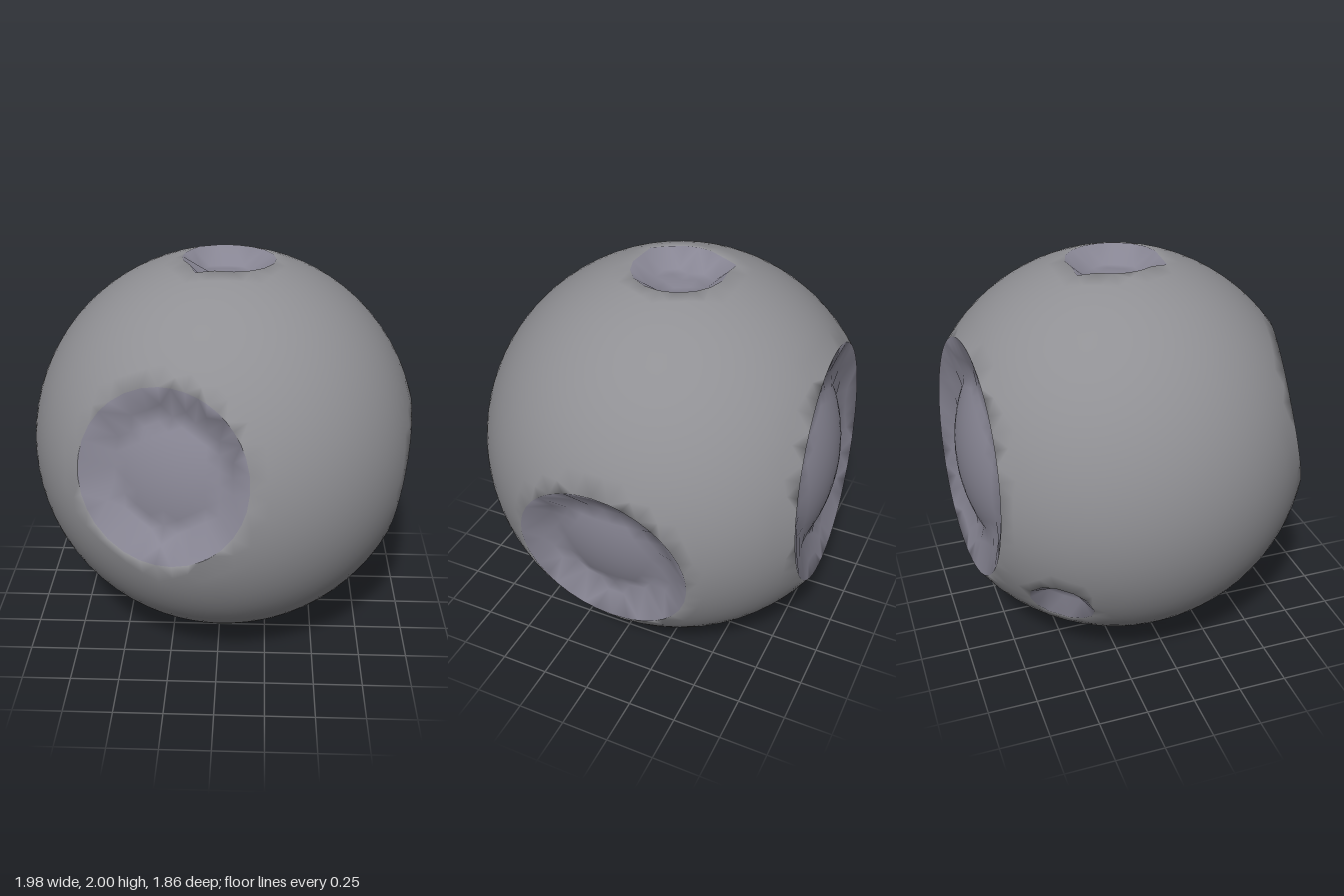
import * as THREE from 'three';
import { mergeVertices } from 'three/addons/utils/BufferGeometryUtils.js';

const R = 1.01;
const CENTER = new THREE.Vector3(0.02, R, -0.08);
const SNAP = 0.042; // about half an edge length

// Craters: outward direction, rim radius and how far the floor is sunk
const CRATERS = [
  { dir: [-0.29, 0.2, 0.93], r: 0.43, sink: 0.14 },      // front
  { dir: [0.982, -0.17, 0], r: 0.44, sink: 0.14 },       // left side
  { dir: [-0.06, 0.05, -1], r: 0.61, sink: 0.165 },      // back
  { dir: [0.02, 1, 0], r: 0.235, sink: 0.1 },            // top
  { dir: [0.12, -0.88, 0.44], r: 0.15, sink: 0.07 },     // underside, front
  { dir: [-0.72, -0.47, -0.51], r: 0.165, sink: 0.075 }, // underside, back
].map(({ dir, r, sink }) => ({
  r,
  sink,
  n: new THREE.Vector3(...dir).normalize(),
  plane: Math.sqrt(R * R - r * r), // distance of the rim plane from the centre
}));

// Moves a unit direction to the ball surface; a crater floor is a sunken,
// still domed patch of the ball behind a steep wall
function surfacePoint(u) {
  for (const { n, r, sink, plane } of CRATERS) {
    const c = u.dot(n);
    if (c < 0.5) continue;
    const side = u.clone().addScaledVector(n, -c).multiplyScalar(R);
    const rho = side.length();
    if (rho > r + SNAP) continue;
    // points close to the rim slide onto it for a clean edge
    if (rho > r - SNAP) return side.setLength(r).addScaledVector(n, plane);
    const wall = Math.min(1, (1 - rho / r) / 0.18);
    return u.clone().multiplyScalar(R - sink * wall);
  }
  return u.clone().multiplyScalar(R);
}

export function createModel() {
  const group = new THREE.Group();
  group.name = 'crateredSphere';

  let geo = new THREE.IcosahedronGeometry(1, 13);
  geo.deleteAttribute('uv');
  geo.deleteAttribute('normal');
  geo = mergeVertices(geo, 1e-4);

  const pos = geo.attributes.position;
  const v = new THREE.Vector3();
  for (let i = 0; i < pos.count; i++) {
    v.fromBufferAttribute(pos, i).normalize();
    const p = surfacePoint(v).add(CENTER);
    pos.setXYZ(i, p.x, p.y, p.z);
  }
  geo.computeVertexNormals();

  // Sort triangles into outer shell and craters (any corner below the ball surface)
  const shell = [], craters = [];
  const index = geo.index.array;
  for (let i = 0; i < index.length; i += 3) {
    const tri = [index[i], index[i + 1], index[i + 2]];
    const sunk = tri.some((k) => v.fromBufferAttribute(pos, k).distanceTo(CENTER) < R - 0.001);
    (sunk ? craters : shell).push(...tri);
  }

  // Both parts share the same vertices and normals, so shading flows over the rims
  const addPart = (name, indices, color) => {
    const part = new THREE.BufferGeometry();
    part.setAttribute('position', pos);
    part.setAttribute('normal', geo.attributes.normal);
    part.setIndex(indices);
    const mesh = new THREE.Mesh(part, new THREE.MeshStandardMaterial({ color }));
    mesh.name = name;
    group.add(mesh);
  };
  addPart('ballShell', shell, 0x909094);
  addPart('craters', craters, 0x888694);
  return group;
}
